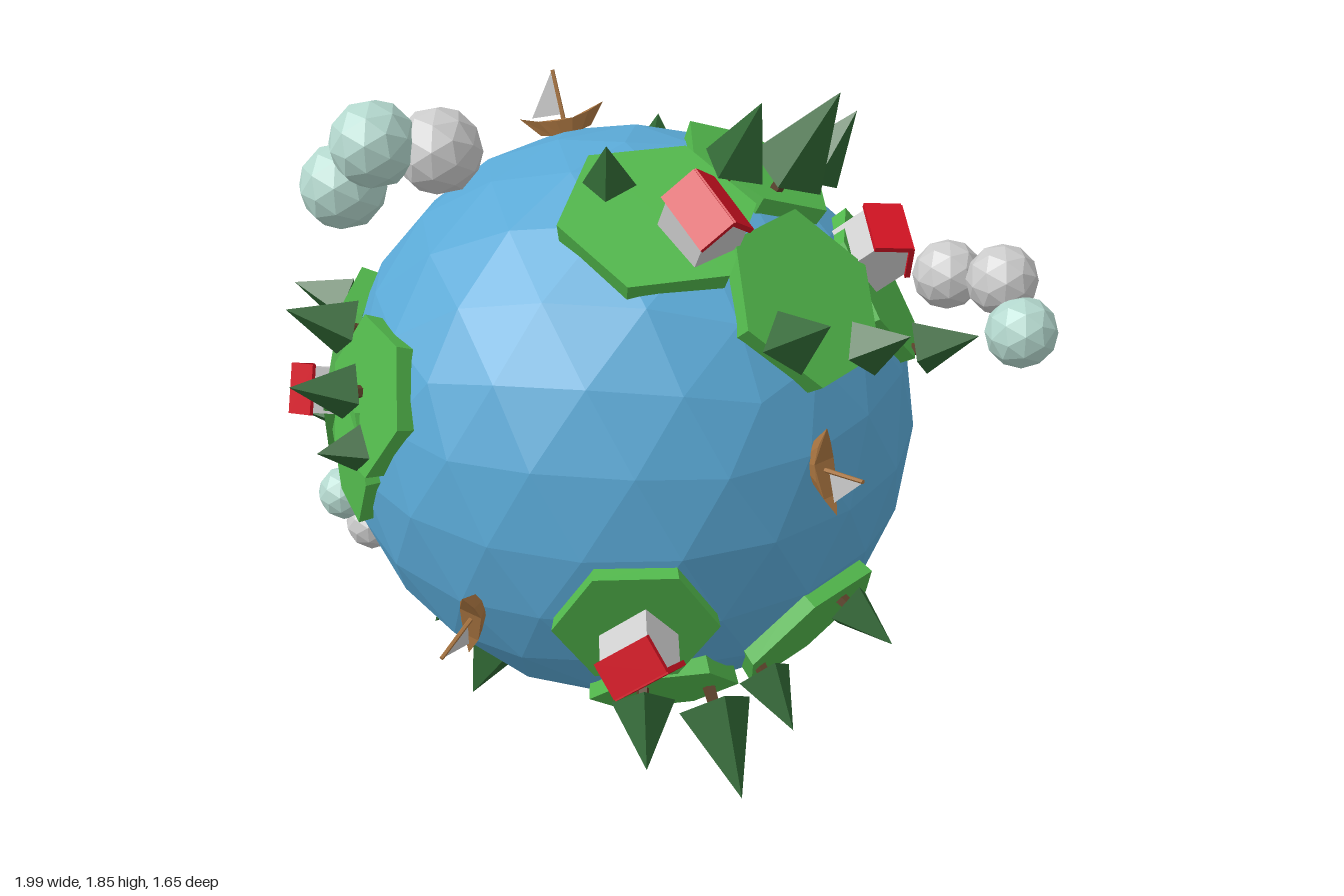
import * as THREE from 'three';

const CENTRE = new THREE.Vector3(-0.135, 0.9, -0.01);
const R = 0.71;

const mat = (color, extra = {}) => new THREE.MeshStandardMaterial({ color, flatShading: true, ...extra });
const sea = mat(0x5aa9d6), grass = mat(0x52b84c), leaf = mat(0x2f6633), bark = mat(0x5a4028);
const red = mat(0xd01222), grey = mat(0xcccccc), wood = mat(0xa87440), mint = mat(0xb4d8ce);
const cloth = mat(0xcccccc, { side: THREE.DoubleSide });

function part(name, geometry, material, parent, x = 0, y = 0, z = 0) {
  const mesh = new THREE.Mesh(geometry, material);
  mesh.name = name;
  mesh.position.set(x, y, z);
  parent.add(mesh);
  return mesh;
}

// Stands a group on the globe: local y points outward, local x follows the heading
function standOn(group, dir, height, heading) {
  const n = new THREE.Vector3(...dir).normalize();
  const h = heading ? new THREE.Vector3(...heading) : new THREE.Vector3(0, 1, 0).cross(n);
  const x = h.addScaledVector(n, -h.dot(n)).normalize();
  const z = new THREE.Vector3().crossVectors(x, n);
  group.quaternion.setFromRotationMatrix(new THREE.Matrix4().makeBasis(x, n, z));
  group.position.copy(n).multiplyScalar(height);
  return group;
}

function named(name) {
  const g = new THREE.Group();
  g.name = name;
  return g;
}

// Flat hexagonal slab of land
function land(radius) {
  const g = named('land');
  const slab = new THREE.CylinderGeometry(radius, radius * 0.96, 0.055, 6).rotateY(Math.PI / 2);
  part('landSlab', slab, grass, g, 0, -0.0275, 0);
  return g;
}

// Four-sided fir on a short trunk
function tree(height) {
  const g = named('tree');
  const trunk = height * 0.22, crown = height - trunk, r = 0.035 + height * 0.19;
  part('trunk', new THREE.CylinderGeometry(0.014, 0.018, trunk + 0.04, 5), bark, g, 0, trunk / 2, 0);
  part('crown', new THREE.ConeGeometry(r, crown, 4), leaf, g, 0, trunk + crown / 2, 0);
  return g;
}

// Gabled house with two roof slabs
function house(s) {
  const g = named('house');
  const w = 0.055, wall = 0.085, ridge = 0.135, len = 0.13;
  const gable = new THREE.Shape([[-w, -0.03], [w, -0.03], [w, wall], [0, ridge], [-w, wall]]
    .map(p => new THREE.Vector2(...p)));
  const body = new THREE.ExtrudeGeometry(gable, { depth: len, bevelEnabled: false });
  part('walls', body.translate(0, 0, -len / 2), grey, g);
  const slope = Math.atan2(ridge - wall, w), span = Math.hypot(w, ridge - wall) + 0.012;
  for (const side of [-1, 1]) {
    const slab = part('roof', new THREE.BoxGeometry(span, 0.012, len + 0.014), red, g,
      side * (w / 2 + 0.003), (wall + ridge) / 2 + 0.003, 0);
    slab.rotation.z = -side * slope;
  }
  g.scale.setScalar(s);
  return g;
}

// Sailing boat with a pointed hull that curves up at both ends
function boat() {
  const g = named('boat');
  const L = 0.105, W = 0.03, D = 0.035;
  const plan = new THREE.Shape();
  plan.moveTo(-L, 0).quadraticCurveTo(0, -2 * W, L, 0).quadraticCurveTo(0, 2 * W, -L, 0);
  const hull = new THREE.ExtrudeGeometry(plan, { depth: D, bevelEnabled: false, curveSegments: 5 });
  hull.rotateX(-Math.PI / 2);
  const p = hull.attributes.position;
  for (let i = 0; i < p.count; i++) {
    const k = p.getY(i) < D / 2 ? 0.6 : 1;
    const x = p.getX(i) * k;
    p.setXYZ(i, x, p.getY(i) + 2.2 * x * x, p.getZ(i) * k);
  }
  part('hull', hull, wood, g);
  part('mast', new THREE.CylinderGeometry(0.005, 0.006, 0.14, 5), wood, g, 0, 0.09, 0);
  const sail = new THREE.Shape([[0.005, 0.155], [0.005, 0.05], [0.075, 0.055]].map(q => new THREE.Vector2(...q)));
  part('sail', new THREE.ShapeGeometry(sail), cloth, g);
  return g;
}

export function createModel() {
  const model = named('tinyPlanet');
  const planet = named('planet');
  planet.position.copy(CENTRE);
  model.add(planet);

  // Globe, turned so that a vertex sits at each pole
  const globe = new THREE.IcosahedronGeometry(R, 3).rotateX(-Math.atan((1 + Math.sqrt(5)) / 2));
  part('ocean', globe, sea, planet);

  // Land: direction, slab radius
  const lands = [
    [[-0.07, 0.65, 0.29], 0.23], [[0.275, 0.64, 0.14], 0.2], [[0.195, 0.47, 0.5], 0.22], [[0.5, 0.37, 0.34], 0.2],
    [[-0.305, -0.18, 0.615], 0.19], [[-0.175, -0.47, 0.505], 0.18], [[0.185, -0.37, 0.58], 0.21],
    [[0.67, -0.195, -0.1], 0.22], [[0.485, -0.4, -0.34], 0.22], [[0.32, -0.63, 0], 0.22], [[0.32, -0.2, -0.6], 0.22],
    [[0.32, 0.37, -0.51], 0.2], [[-0.28, -0.62, -0.2], 0.21],
    [[-0.58, 0.1, -0.384], 0.24], [[-0.674, 0.215, 0.01], 0.19], [[-0.7, 0.03, -0.08], 0.17],
  ];
  lands.forEach(([dir, r], i) => planet.add(standOn(land(r), dir, R + 0.006 + (i % 3) * 0.003)));

  // Trees, each given by its tip
  const tips = [
    [0.365, 0.88, 0.35], [0.19, 0.87, 0.3], [0.5, 0.77, 0.22], [-0.16, 0.805, 0.22],
    [0.1, 0.53, 0.745], [0.35, 0.42, 0.69], [0.66, 0.28, 0.54],
    [-0.855, 0.27, -0.02], [-0.8, 0.39, -0.17], [-0.83, 0.13, 0.06],
    [-0.675, 0.3, -0.49], [-0.7, 0.27, -0.37], [-0.69, -0.06, -0.49],
    [-0.1, -0.66, 0.75], [-0.31, -0.55, 0.67], [0.05, -0.53, 0.73], [0.3, -0.35, 0.76],
    [-0.415, -0.81, -0.12], [-0.245, -0.87, -0.28], [-0.42, -0.72, -0.35],
    [0.35, -0.885, 0.01], [0.55, -0.74, -0.44], [0.68, -0.6, -0.2],
    [0.93, -0.34, -0.22], [0.87, -0.22, -0.05],
    [0.235, -0.06, -0.82], [0.4, -0.15, -0.73], [0.485, 0.355, -0.78], [0.4, 0.52, -0.58],
  ];
  for (const tip of tips) planet.add(standOn(tree(Math.hypot(...tip) - R), tip, R));

  // Houses: direction, heading, scale
  const houses = [
    [[-0.015, 0.66, 0.4], [1, 0.3, 0], 1.1], [[0.495, 0.52, 0.4], [0.6, -0.6, 0], 1.05],
    [[-0.34, -0.23, 0.7], [0.7, -0.7, 0], 1.05], [[-0.755, 0.12, -0.28], [0, 0.4, 1], 0.85],
    [[0.545, -0.27, -0.575], [1, 0.3, 1], 0.8], [[0.395, -0.33, -0.64], [1, 0.3, 0.7], 0.8],
  ];
  for (const [dir, heading, s] of houses) planet.add(standOn(house(s), dir, R, heading));

  // Boats: direction, heading
  const boats = [
    [[0.12, 0.145, 0.68], [0, -1, 0]], [[-0.015, 0.65, -0.29], [-1, 0, -0.4]],
    [[-0.61, -0.22, 0.37], [-0.3, -1, 0]], [[0.05, -0.7, -0.17], [0.5, 0, -0.8]],
  ];
  for (const [dir, heading] of boats) planet.add(standOn(boat(), dir, R - 0.012, heading));

  // Clouds: puffs as x, y, z with the puff radius and materials
  const clouds = [
    [0.096, [[-0.66, 1.74, 0.14, grey], [-0.795, 1.77, 0.11, mint], [-0.845, 1.66, 0.04, mint]]],
    [0.096, [[0.9, 1.08, 0.135, grey], [0.88, 1.015, -0.075, grey], [0.885, 0.98, 0.25, mint]]],
    [0.074, [[-0.62, 0.375, -0.62, grey], [-0.675, 0.46, -0.67, mint], [-0.525, 0.335, -0.655, mint]]],
  ];
  for (const [r, puffs] of clouds) {
    const cloud = named('cloud');
    for (const [x, y, z, m] of puffs) part('puff', new THREE.IcosahedronGeometry(r, 1), m, cloud, x, y, z);
    model.add(cloud);
  }
  return model;
}
